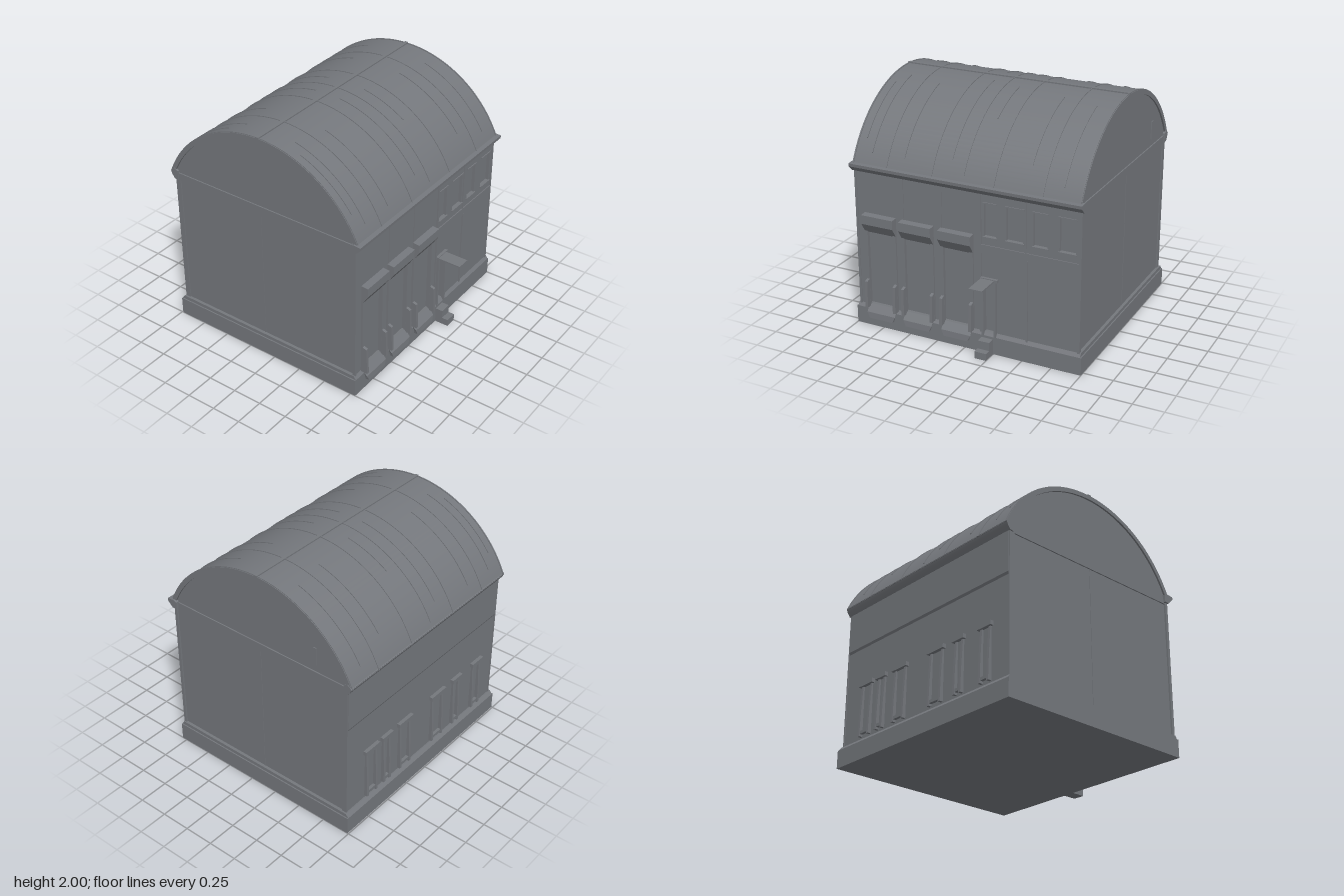
import * as THREE from 'three';
import { toCreasedNormals } from 'three/addons/utils/BufferGeometryUtils.js';

export function createModel() {
  const model = new THREE.Group();
  model.name = 'barrelRoofedDepot';
  const grey = new THREE.MeshStandardMaterial({ color: 0x74777c });
  grey.name = 'slateGrey';

  const add = (name, geometry) => {
    const mesh = new THREE.Mesh(geometry, grey);
    mesh.name = name;
    model.add(mesh);
    return mesh;
  };
  // box given by its limits on each axis
  const box = (name, x0, x1, y0, y1, z0, z1) => add(name,
    new THREE.BoxGeometry(x1 - x0, y1 - y0, z1 - z0)
      .translate((x0 + x1) / 2, (y0 + y1) / 2, (z0 + z1) / 2));
  // side profile of [z, y] points, swept along x
  const sweep = (name, shape, x0, x1, crease = 0.3) => {
    const g = new THREE.ExtrudeGeometry(shape, { depth: x1 - x0, bevelEnabled: false, curveSegments: 28 });
    g.rotateY(Math.PI / 2).translate(x0, 0, 0);
    return add(name, toCreasedNormals(g, crease));
  };
  const profile = pts => new THREE.Shape(pts.map(([z, y]) => new THREE.Vector2(-z, y)));
  const rect = (x0, x1, y0, y1) => [[x0, y0], [x1, y0], [x1, y1], [x0, y1]].map(p => new THREE.Vector2(...p));

  // plinth and main block
  box('plinth', -1, 1, 0, 0.15, -0.99, 0.795);
  sweep('plinthSlope', profile([[0.795, 0.15], [0.775, 0.18], [-0.965, 0.18], [-0.99, 0.15]]), -0.99, 0.99);
  box('mainBlock', -0.965, 0.965, 0.15, 1.4, -0.955, 0.75);

  // front wall with openings cut through to the block behind
  const bays = [-0.755, -0.415, -0.065];
  const windows = [[0.17, 0.27], [0.36, 0.5], [0.585, 0.7], [0.8, 0.93]];
  const wall = new THREE.Shape(rect(-0.965, 0.965, 0.15, 1.36));
  const cut = (...r) => wall.holes.push(new THREE.Path(rect(...r).reverse()));
  bays.forEach(x => cut(x - 0.125, x + 0.125, 0.17, 0.86));
  windows.forEach(([a, b]) => cut(a, b, 0.99, 1.26));
  cut(0.17, 0.26, 0.16, 0.62);
  add('frontWall', new THREE.ExtrudeGeometry(wall, { depth: 0.025, bevelEnabled: false }).translate(0, 0, 0.75));

  // loading bays: posts, sloping hood and tapered sill
  bays.forEach(x => {
    for (const s of [-1, 1]) {
      box('bayPost', x + s * 0.13 - 0.013, x + s * 0.13 + 0.013, 0.18, 0.92, 0.77, 0.79);
      sweep('bayButtress', profile([[0.77, 0.17], [0.835, 0.17], [0.825, 0.4], [0.77, 0.42]]),
        x + s * 0.13 - 0.012, x + s * 0.13 + 0.012);
    }
    sweep('bayHood', profile([[0.76, 0.83], [0.785, 0.83], [0.835, 0.91], [0.835, 0.985], [0.77, 0.99]]),
      x - 0.143, x + 0.143);
    const sill = sweep('baySill', profile([[0.75, 0.08], [0.83, 0.08], [0.825, 0.13], [0.78, 0.19], [0.75, 0.19]]),
      -0.13, 0.13);
    sill.position.x = x;
    const p = sill.geometry.attributes.position;
    for (let i = 0; i < p.count; i++) if (p.getY(i) < 0.1) p.setX(i, p.getX(i) * 0.82);
    sill.geometry.computeVertexNormals();
  });

  // raised bands and seams on the front
  box('frontBand', 0.14, 0.965, 0.85, 0.92, 0.77, 0.783);
  for (const x of [0.14, 0.535]) box('frontMullion', x - 0.007, x + 0.007, 0.17, x < 0.3 ? 1.34 : 0.86, 0.77, 0.785);
  for (const x of [-0.54, -0.2]) box('frontSeam', x - 0.004, x + 0.004, 0.99, 1.34, 0.77, 0.78);
  box('windowMullion', 0.52, 0.53, 0.92, 1.34, 0.77, 0.782);
  for (const [a, b] of windows) {
    box('windowSill', a - 0.01, b + 0.01, 0.978, 0.99, 0.77, 0.787);
    box('windowHead', a - 0.01, b + 0.01, 1.26, 1.27, 0.77, 0.783);
  }

  // small door with canopy and steps
  for (const x of [0.162, 0.268]) box('doorJamb', x - 0.009, x + 0.009, 0.15, 0.63, 0.76, 0.8);
  box('doorCanopy', 0.15, 0.265, 0.63, 0.642, 0.76, 1);
  box('canopyRail', 0.145, 0.29, 0.625, 0.648, 0.76, 0.8);
  box('lowerStep', 0.15, 0.25, 0, 0.06, 0.78, 0.915);
  box('upperStep', 0.15, 0.25, 0.06, 0.13, 0.78, 0.86);

  // end walls: corner strips, top rail, middle seam
  for (const s of [-1, 1]) {
    const strip = (name, y0, y1, z0, z1, t) =>
      box(name, Math.min(s * 0.96, s * t), Math.max(s * 0.96, s * t), y0, y1, z0, z1);
    strip('cornerStrip', 0.15, 1.36, 0.755, 0.78, 0.98);
    strip('cornerStrip', 0.15, 1.36, -0.96, -0.915, 0.975);
    strip('endRail', 1.325, 1.39, -0.95, 0.77, 0.975);
    strip('endSeam', 0.18, 1.33, -0.118, -0.108, 0.969);
  }

  // back wall: upper skin and window surrounds
  sweep('backSkin', profile([[-0.95, 1.38], [-0.964, 1.36], [-0.964, 1], [-0.955, 0.98], [-0.95, 0.98]]), -0.965, 0.965);
  for (const [a, b] of [[0.6, 0.77], [0.43, 0.56], [0.17, 0.35], [-0.27, -0.08], [-0.5, -0.37], [-0.8, -0.65]]) {
    box('backLintel', a, b, 0.625, 0.66, -0.985, -0.95);
    for (const x of [a + 0.03, b - 0.03])
      sweep('backJamb', profile([[-0.95, 0.2], [-0.985, 0.2], [-0.98, 0.4], [-0.967, 0.63], [-0.95, 0.63]]), x - 0.011, x + 0.011);
    box('backSill', a + 0.02, b - 0.02, 0.22, 0.245, -0.98, -0.95);
  }

  // barrel roof: shell, gable fill, standing seams and ridge
  const cz = 0.1, cy = 1.005, R = 0.98, half = 1.165;
  const arcBand = (r0, r1, a0, a1) => {
    const s = new THREE.Shape();
    s.absarc(cz, cy, r1, Math.PI / 2 - a1, Math.PI / 2 - a0, false);
    s.absarc(cz, cy, r0, Math.PI / 2 - a0, Math.PI / 2 - a1, true);
    return s;
  };
  sweep('roofShell', arcBand(R - 0.035, R, -half, half), -0.98, 0.98);
  const gable = new THREE.Shape();
  gable.absarc(cz, cy, R - 0.02, Math.PI / 2 - half, Math.PI / 2 + half, false);
  sweep('gable', gable, -0.965, 0.965);
  const seams = [[-0.97, 0, 1], [-0.9, 0.3, 0.8], [-0.82, 0.2, 0.9], [-0.67, 0, 1], [-0.53, 0.25, 0.9], [-0.27, 0, 1],
    [-0.125, 0.1, 0.85], [0, 0, 0.95], [0.12, 0.15, 0.5], [0.26, 0, 1], [0.53, 0.2, 0.8], [0.665, 0, 1], [0.82, 0.25, 0.9], [0.97, 0, 1]];
  for (const [x, a, b] of seams) for (const s of [-1, 1]) {
    const ends = [s * a * half, s * b * half].sort((p, q) => p - q);
    sweep('roofSeam', arcBand(R - 0.01, R + 0.006, ...ends), x - 0.005, x + 0.005);
  }
  box('ridge', -0.98, 0.98, 1.97, 1.995, -0.12, -0.09);

  // eaves along front and back
  sweep('frontEave', profile([[0.74, 1.335], [0.785, 1.335], [0.83, 1.38], [0.832, 1.405], [0.77, 1.41], [0.74, 1.4]]), -0.995, 0.995);
  sweep('backEave', profile([[-0.93, 1.33], [-0.965, 1.335], [-0.99, 1.37], [-1, 1.4], [-0.965, 1.43], [-0.93, 1.41]]), -0.985, 0.985);

  // small window hood high on the left gable, and its bracket
  box('gableVent', 0.96, 0.972, 1.45, 1.6, -0.665, -0.635);
  return model;
}
